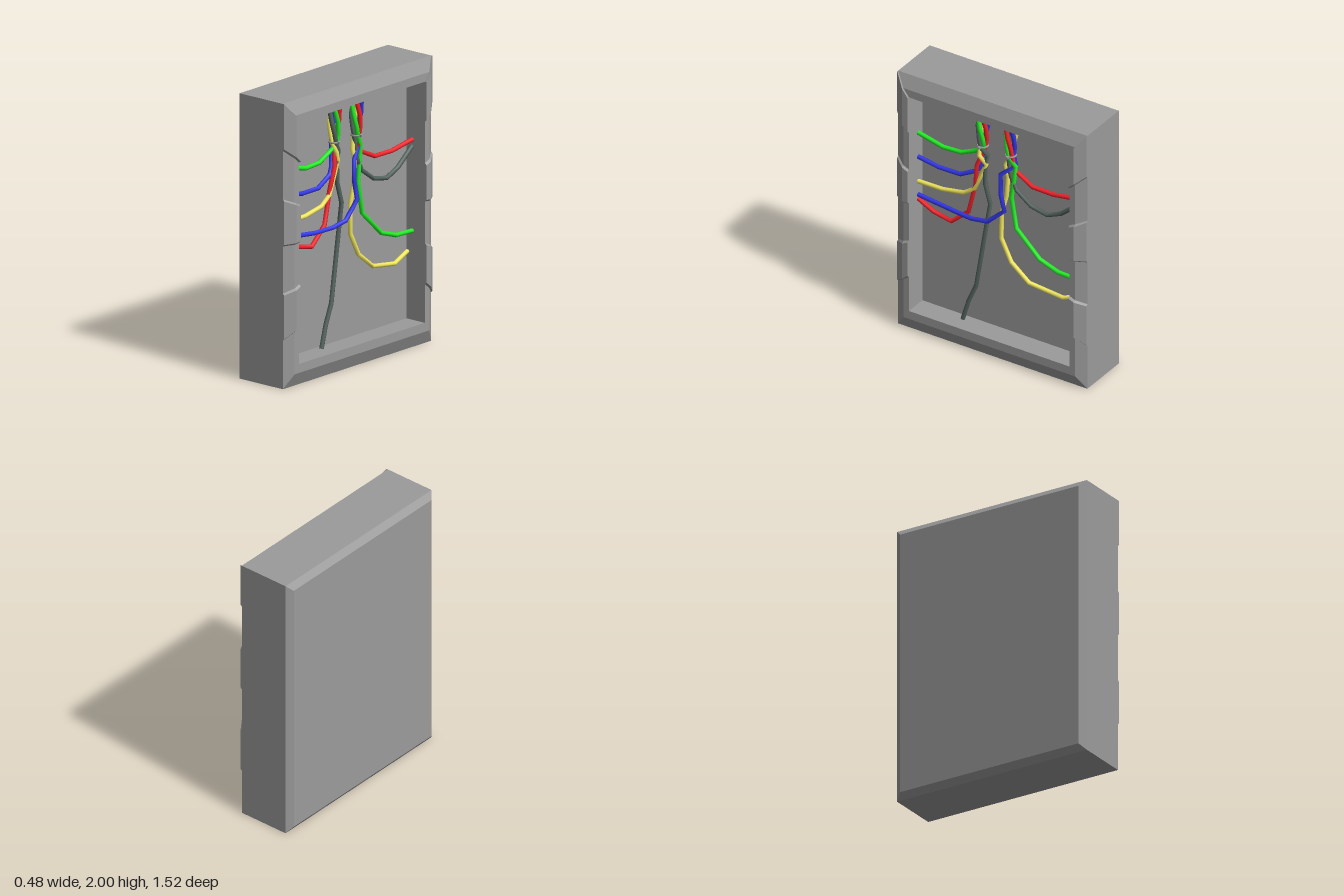
import * as THREE from 'three';

const GREY = 0x9b9b9b;
const H = 2, Z_OUT = 0.76, Z_MID = 0.69, Z_IN = 0.645;
const X_BACK = -0.24, X_FLOOR = 0.06, BEVEL = 0.045;
const Y_LOW = 0.16, Y_TOP = 1.85;

// Rim heights: [x at outer edge, x on the flat of the rim]
const LOW = [0.18, 0.225], HIGH = [0.192, 0.24];

// Notches between low and raised rail stretches, from bottom to top: [outer y, inner y]
const NOTCHES = [[0.34, 0.43], [0.67, 0.72], [1, 1.01], [1.33, 1.28], [1.67, 1.57]];

// Side rail stations: each notch steps between the low and the raised height
function railStations() {
  const stations = [[0, Y_LOW, LOW]];
  NOTCHES.forEach(([yo, yi], i) => {
    if (i % 2 === 0) stations.push([yo, yi, LOW], [yo + 0.012, yi + 0.014, HIGH]);
    else stations.push([yo - 0.012, yi - 0.014, HIGH], [yo, yi, LOW]);
  });
  return [...stations, [H, Y_TOP, HIGH], [H, Y_TOP, LOW]];
}

// Section from the back bevel over the rim down to the recess floor
function section([yo, yi, [xEdge, xRim]], side) {
  const yBack = THREE.MathUtils.clamp(yo, BEVEL, H - BEVEL);
  const yMid = THREE.MathUtils.lerp(yo, yi, (Z_OUT - Z_MID) / (Z_OUT - Z_IN));
  return [
    [X_BACK, yBack, Z_OUT - BEVEL], [X_BACK + 0.035, yo, Z_OUT], [xEdge, yo, Z_OUT],
    [xRim, yMid, Z_MID], [xRim, yi, Z_IN], [X_FLOOR, yi, Z_IN],
  ].map(([x, y, z]) => [x, y, z * side]);
}

// Closed loft: up one side, across the top, down the other, across the bottom
function frameGeometry() {
  const rail = railStations();
  const loop = [
    ...rail.map((s) => section(s, 1)),
    ...rail.reverse().map((s) => section(s, -1)),
  ];
  const n = loop[0].length, index = [];
  loop.forEach((_, i) => {
    const a = i * n, b = ((i + 1) % loop.length) * n;
    for (let j = 0; j < n - 1; j++) {
      index.push(a + j, a + j + 1, b + j, b + j, a + j + 1, b + j + 1);
    }
  });
  const geo = new THREE.BufferGeometry();
  geo.setAttribute('position', new THREE.Float32BufferAttribute(loop.flat(2), 3));
  geo.setIndex(index);
  const flat = geo.toNonIndexed();
  flat.computeVertexNormals();
  return flat;
}

// Straight-segment path whose samples fall exactly on the given points
class Polyline extends THREE.Curve {
  constructor(points) { super(); this.points = points; }
  getPoint(t, target = new THREE.Vector3()) {
    const s = t * (this.points.length - 1);
    const i = Math.min(Math.floor(s + 1e-6), this.points.length - 2);
    return target.lerpVectors(this.points[i], this.points[i + 1], s - i);
  }
  getPointAt(t, target) { return this.getPoint(t, target); }
  getTangentAt(t, target = new THREE.Vector3()) {
    const p = this.points, i = Math.round(t * (p.length - 1));
    const before = p[i].clone().sub(p[Math.max(i - 1, 0)]).normalize();
    const after = p[Math.min(i + 1, p.length - 1)].clone().sub(p[i]).normalize();
    return target.addVectors(before, after).normalize();
  }
}

const COLORS = { Red: 0xf4242c, Green: 0x22ec26, Blue: 0x3438e8, Yellow: 0xf2e860, Dark: 0x55645f };
const BUNDLE_X = 0.095, WIRE_END_X = 0.112, TIE_Y = 1.58;

// Loose ends below each tie as [z, y] or [z, y, x], in order around the bundle
const LEFT_ENDS = {
  Dark: [[0.095, 1.51], [0.115, 1.43], [0.11, 1.28], [0.07, 1.14], [0.11, 0.9], [0.18, 0.46],
    [0.24, 0.32], [0.285, 0.165]],
  Green: [[0.19, 1.52], [0.3, 1.47], [0.445, 1.465], [0.645, 1.515]],
  Red: [[0.165, 1.42, 0.125], [0.19, 1.25], [0.245, 1.02], [0.38, 0.9], [0.52, 0.93], [0.645, 0.995]],
  Blue: [[0.155, 1.4, 0.085], [0.19, 1.36], [0.31, 1.295], [0.48, 1.295], [0.645, 1.325]],
  Yellow: [[0.145, 1.51, 0.125], [0.105, 1.44], [0.195, 1.22], [0.28, 1.16], [0.45, 1.13], [0.645, 1.13]],
};
const RIGHT_ENDS = {
  Green: [[-0.13, 1.5], [-0.12, 1.4], [-0.1, 1.25], [-0.14, 1.02], [-0.33, 0.84], [-0.48, 0.79],
    [-0.645, 0.785]],
  Red: [[-0.12, 1.46, 0.085], [-0.27, 1.39], [-0.44, 1.39], [-0.645, 1.425]],
  Blue: [[-0.125, 1.5, 0.085], [-0.03, 1.42, 0.13], [-0.03, 1.27, 0.13], [-0.06, 1.14, 0.13],
    [0.07, 1.02, 0.14], [0.2, 1, 0.14], [0.35, 0.99], [0.645, 1.025]],
  Yellow: [[-0.05, 1.49], [-0.07, 1.4], [-0.06, 1.25], [-0.02, 1.1], [-0.02, 0.9], [-0.1, 0.74],
    [-0.245, 0.625], [-0.5, 0.58, 0.08], [-0.645, 0.635, 0.07]],
  Dark: [[-0.09, 1.42], [-0.14, 1.32], [-0.26, 1.235], [-0.39, 1.21], [-0.5, 1.26], [-0.645, 1.38]],
};

// Twisted stretch of one wire inside its bundle, bulging above the tie
function twist(phase, zCentre) {
  return [Y_TOP, 1.73, 1.64, 1.57].map((y) => {
    const angle = phase + (Y_TOP - y) * 7;
    const radius = 0.02 + 0.02 * Math.sin(2 * Math.PI * Math.max(y - TIE_Y, 0));
    return new THREE.Vector3(BUNDLE_X + radius * Math.sin(angle), y, zCentre + radius * Math.cos(angle));
  });
}

export function createModel() {
  const model = new THREE.Group();
  const add = (name, geo, color, parent, options = {}) => {
    const mesh = new THREE.Mesh(geo, new THREE.MeshStandardMaterial({ color, ...options }));
    mesh.name = name;
    parent.add(mesh);
    return mesh;
  };
  const group = (name) => {
    const g = new THREE.Group();
    g.name = name;
    model.add(g);
    return g;
  };

  // Box: frame with notched side rails, back panel and recess floor
  const box = group('box');
  add('frame', frameGeometry(), GREY, box, { flatShading: true });
  const back = add('backPanel', new THREE.PlaneGeometry(2 * (Z_OUT - BEVEL), H - 2 * BEVEL), GREY, box);
  back.rotation.y = -Math.PI / 2;
  back.position.set(X_BACK, H / 2, 0);
  const floor = add('recessFloor', new THREE.PlaneGeometry(2 * Z_IN, Y_TOP - Y_LOW), GREY, box);
  floor.rotation.y = Math.PI / 2;
  floor.position.set(X_FLOOR, (Y_TOP + Y_LOW) / 2, 0);

  // Two wire bundles, each held by a tie
  for (const [side, z, ends] of [['left', 0.135, LEFT_ENDS], ['right', -0.09, RIGHT_ENDS]]) {
    const wires = group(side + 'Wires');
    Object.entries(ends).forEach(([colorName, path], i) => {
      const loose = path.map(([pz, py, px], k) => new THREE.Vector3(
        px ?? THREE.MathUtils.lerp(BUNDLE_X, WIRE_END_X, (k + 1) / path.length), py, pz));
      const points = [...twist((i * 2 - 1) * Math.PI / 5, z), ...loose];
      add(side + colorName + 'Wire', new THREE.TubeGeometry(new Polyline(points), points.length - 1, 0.016, 8),
        COLORS[colorName], wires, { side: THREE.DoubleSide });
    });

    const tie = group(side + 'Tie');
    tie.position.set(BUNDLE_X, TIE_Y, z);
    const band = add(side + 'TieBand', new THREE.TorusGeometry(0.036, 0.007, 6, 16), GREY, tie);
    band.rotation.x = Math.PI / 2;
    const head = add(side + 'TieHead', new THREE.BoxGeometry(0.02, 0.014, 0.018), GREY, tie);
    head.position.x = 0.044;
  }
  return model;
}
